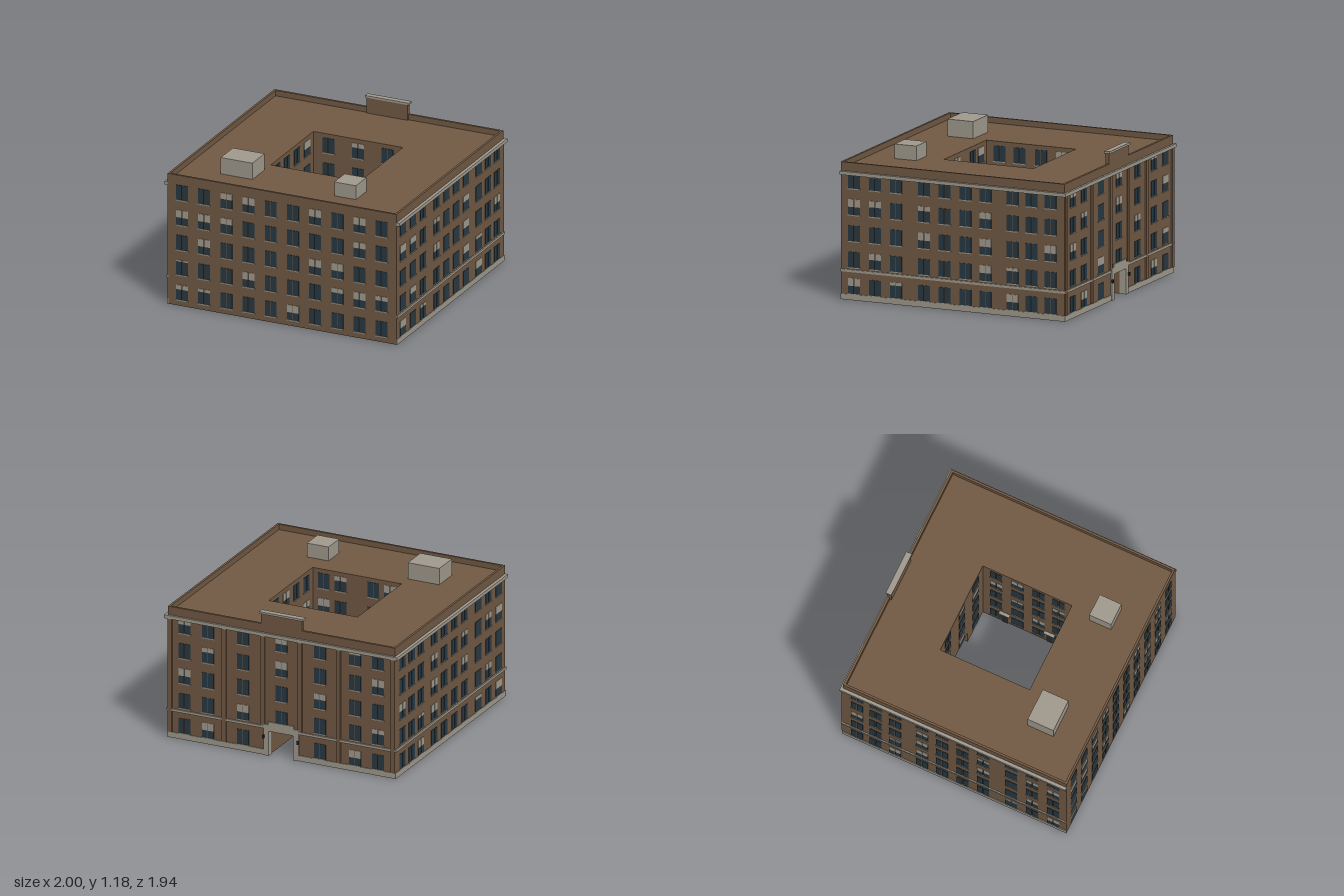
import * as THREE from 'three';
import { mergeGeometries } from 'three/addons/utils/BufferGeometryUtils.js';

const mat = (name, color) => Object.assign(new THREE.MeshStandardMaterial({ color }), { name });
const M = {
  brick: mat('brown brick', 0x735a44),
  stone: mat('pale stone', 0xa29c8f),
  glass: mat('dark glass', 0x2a3a43),
  blind: mat('window blind', 0xa49e91),
  metal: mat('dark metal', 0x2b2b2d),
  grey: mat('grey metal', 0x5a5a5a),
};

// Outer walls and courtyard edges
const W = 0.975, BACK = -0.943, FRONT = 0.96;
const CX0 = -0.381, CX1 = 0.38, CZ0 = -0.395, CZ1 = 0.364;
const DOOR = 0.11, DOOR_TOP = 0.21, ROOF = 1.035, TOP = 1.08;
const ROWS = [0.05, 0.257, 0.464, 0.671, 0.878];
const WIN_W = 0.1, WIN_H = 0.122;

const boxGeo = (x0, x1, y0, y1, z0, z1) =>
  new THREE.BoxGeometry(x1 - x0, y1 - y0, z1 - z0)
    .translate((x0 + x1) / 2, (y0 + y1) / 2, (z0 + z1) / 2);

const box = (parent, name, material, ...b) => {
  const m = new THREE.Mesh(boxGeo(...b), material);
  m.name = name;
  parent.add(m);
  return m;
};

// Extrudes a plan given as [x, z] points, anticlockwise from above, from y0 to y1
function plan(parent, name, material, points, y0, y1, hole) {
  const vec = (list) => list.map(([x, z]) => new THREE.Vector2(x, -z));
  const shape = new THREE.Shape(vec(points));
  if (hole) shape.holes.push(new THREE.Path(vec(hole).reverse()));
  const geo = new THREE.ExtrudeGeometry(shape, { depth: y1 - y0, bevelEnabled: false });
  geo.rotateX(-Math.PI / 2).translate(0, y0, 0);
  const m = new THREE.Mesh(geo, material);
  m.name = name;
  parent.add(m);
}
const rect = (x0, x1, z0, z1) => [[x0, z1], [x1, z1], [x1, z0], [x0, z0]];

// Windows on one wall. Each row string runs bottom to top: a digit is the
// lowered blind in tenths of the height, x leaves the place empty.
function facade(parent, name, angle, dist, cols, rows) {
  const g = new THREE.Group();
  g.name = name;
  g.rotation.y = angle;
  const parts = { glass: [], blind: [], stone: [] };
  rows.forEach((row, r) => cols.forEach((u, c) => {
    if (row[c] === 'x') return;
    const y = ROWS[r], top = y + WIN_H, cut = top - WIN_H * Number(row[c]) / 10;
    for (const s of [-1, 1]) {
      const a = u + s * 0.003, b = u + s * WIN_W / 2;
      const x0 = Math.min(a, b), x1 = Math.max(a, b);
      parts.glass.push(boxGeo(x0, x1, y, cut, dist - 0.002, dist + 0.004));
      if (cut < top) parts.blind.push(boxGeo(x0, x1, cut, top, dist - 0.002, dist + 0.004));
    }
    parts.stone.push(boxGeo(u - 0.053, u + 0.053, y - 0.008, y, dist - 0.002, dist + 0.008));
  }));
  const names = { glass: 'windowPanes', blind: 'windowBlinds', stone: 'windowSills' };
  for (const key in parts) {
    const m = new THREE.Mesh(mergeGeometries(parts[key]), M[key]);
    m.name = names[key];
    g.add(m);
  }
  parent.add(g);
  return g;
}

// Stone strip along both sides and the back, open at the front
function strip(parent, name, out, y0, y1, gap = 0) {
  const zb = BACK - Math.min(out, 0.018);
  for (const s of [-1, 1]) {
    const xa = s * (W - 0.01), xb = s * (W + out);
    box(parent, name + 'Side', M.stone, Math.min(xa, xb), Math.max(xa, xb), y0, y1, zb, FRONT);
    const xi = s * gap, xo = s * W;
    box(parent, name + 'Back', M.stone, Math.min(xi, xo), Math.max(xi, xo), y0, y1, zb, BACK + 0.01);
  }
}

export function createModel() {
  const model = new THREE.Group();
  model.name = 'courtyardBuilding';
  const outer = rect(-W, W, BACK, FRONT), court = rect(CX0, CX1, CZ0, CZ1);

  // Walls: ground level has a passage through the back wing
  plan(model, 'groundWalls', M.brick, [
    [-W, FRONT], [W, FRONT], [W, BACK], [DOOR, BACK], [DOOR, CZ0], [CX1, CZ0],
    [CX1, CZ1], [CX0, CZ1], [CX0, CZ0], [-DOOR, CZ0], [-DOOR, BACK], [-W, BACK],
  ], 0, DOOR_TOP);
  plan(model, 'upperWalls', M.brick, outer, DOOR_TOP, ROOF, court);
  plan(model, 'parapet', M.brick, outer, ROOF, TOP,
    rect(-W + 0.018, W - 0.018, BACK + 0.02, FRONT - 0.018));

  // Stone bands
  strip(model, 'plinth', 0.006, 0, 0.045, 0.14);
  strip(model, 'stringCourse', 0.01, 0.22, 0.24);
  strip(model, 'cornice', 0.025, 0.983, 1.011);

  // Roof blocks and the raised panel over the entrance
  box(model, 'roofBlockLarge', M.stone, -0.65, -0.38, ROOF, 1.17, 0.475, 0.693);
  box(model, 'roofBlockSmall', M.stone, 0.33, 0.515, ROOF, 1.15, 0.535, 0.72);
  box(model, 'raisedPanel', M.brick, -0.175, 0.175, 1.03, 1.165, BACK, -0.91);
  box(model, 'panelCap', M.stone, -0.187, 0.187, 1.163, 1.18, -0.953, -0.905);

  // Pilasters on the back
  for (const x of [0.955, 0.49, 0.16]) for (const s of [-1, 1]) {
    box(model, 'pilaster', M.brick, s * x - 0.018, s * x + 0.018,
      x < 0.2 ? 0.24 : 0.045, 0.988, BACK - 0.012, BACK + 0.01);
  }

  // Entrance surround and lamps
  for (const s of [-1, 1]) {
    const jamb = box(model, 'entranceJamb', M.stone, -0.023, 0.023, 0, 0.25, -0.955, -0.9);
    jamb.position.x = s * 0.127;
    const lamp = box(model, 'entranceLamp', M.metal, -0.007, 0.007, 0.14, 0.168, -0.968, -0.95);
    lamp.position.x = s * 0.148;
  }
  box(model, 'entranceLintel', M.stone, -0.15, 0.15, 0.203, 0.255, -0.955, -0.9);
  box(model, 'entranceCap', M.stone, -0.11, 0.11, 0.255, 0.28, -0.955, -0.935);

  // Outer windows
  const frontCols = Array.from({ length: 10 }, (_, i) => -0.851 + i * 0.189);
  facade(model, 'frontWindows', 0, FRONT, frontCols,
    ['3200050000', '1005000353', '0500005500', '5540000040', '0045005050']);
  const sideCols = [0.845, 0.667, 0.49, 0.25, 0.077, -0.1, -0.27, -0.5, -0.663, -0.823];
  const sideRows = ['5020000500', '0400005200', '0005005005', '5403004000', '0200010000'];
  facade(model, 'leftWindows', Math.PI / 2, W, sideCols.map((z) => -z), sideRows);
  facade(model, 'rightWindows', -Math.PI / 2, W, sideCols, sideRows);
  facade(model, 'backWindows', Math.PI, -BACK, [-0.83, -0.63, -0.33, 0, 0.33, 0.63, 0.83],
    ['050x050', '0050003', '5000400', '0305005', '4005030']);

  // Courtyard windows
  facade(model, 'courtBackWindows', 0, CZ0, [-0.25, 0, 0.25],
    ['0x0', '050', '400', '005', '030']);
  facade(model, 'courtFrontWindows', Math.PI, -CZ1, [-0.285, -0.14, 0.14, 0.285],
    ['0xx5', '0500', '0040', '5000', '0305']);
  const courtCols = [-0.28, -0.1, 0.08, 0.25];
  const courtSides = [
    facade(model, 'courtRightWindows', Math.PI / 2, CX0, courtCols.map((z) => -z),
      ['0000', '0500', '4005', '0050', '5000']),
    facade(model, 'courtLeftWindows', -Math.PI / 2, -CX1, courtCols,
      ['0000', '0050', '0300', '5004', '0500']),
  ];

  // Courtyard doors with canopies and lamps
  courtSides.forEach((g, i) => {
    const d = i ? -CX1 : CX0;
    for (const z of [-0.205, 0.175]) {
      const u = i ? z : -z;
      box(g, 'courtDoor', M.metal, u - 0.025, u + 0.025, 0, 0.15, d - 0.002, d + 0.005);
      box(g, 'doorCanopy', M.stone, u - 0.045, u + 0.045, 0.185, 0.2, d, d + 0.025);
      box(g, 'doorLamp', M.metal, u - 0.008, u + 0.008, 0.16, 0.18, d, d + 0.012);
    }
  });
  box(model, 'mainDoor', M.glass, -0.075, 0.075, 0, 0.15, CZ1 - 0.006, CZ1 + 0.002);
  box(model, 'mainDoorCanopy', M.stone, -0.085, 0.085, 0.18, 0.2, CZ1 - 0.015, CZ1);

  // Litter bin in the courtyard
  const drum = (name, material, r0, r1, y0, y1) => {
    const m = new THREE.Mesh(new THREE.CylinderGeometry(r0, r1, y1 - y0, 16), material);
    m.name = name;
    m.position.set(-0.295, (y0 + y1) / 2, 0.268);
    model.add(m);
  };
  drum('litterBin', M.grey, 0.024, 0.02, 0, 0.07);
  drum('litterBinOpening', M.metal, 0.01, 0.01, 0.066, 0.072);

  return model;
}
